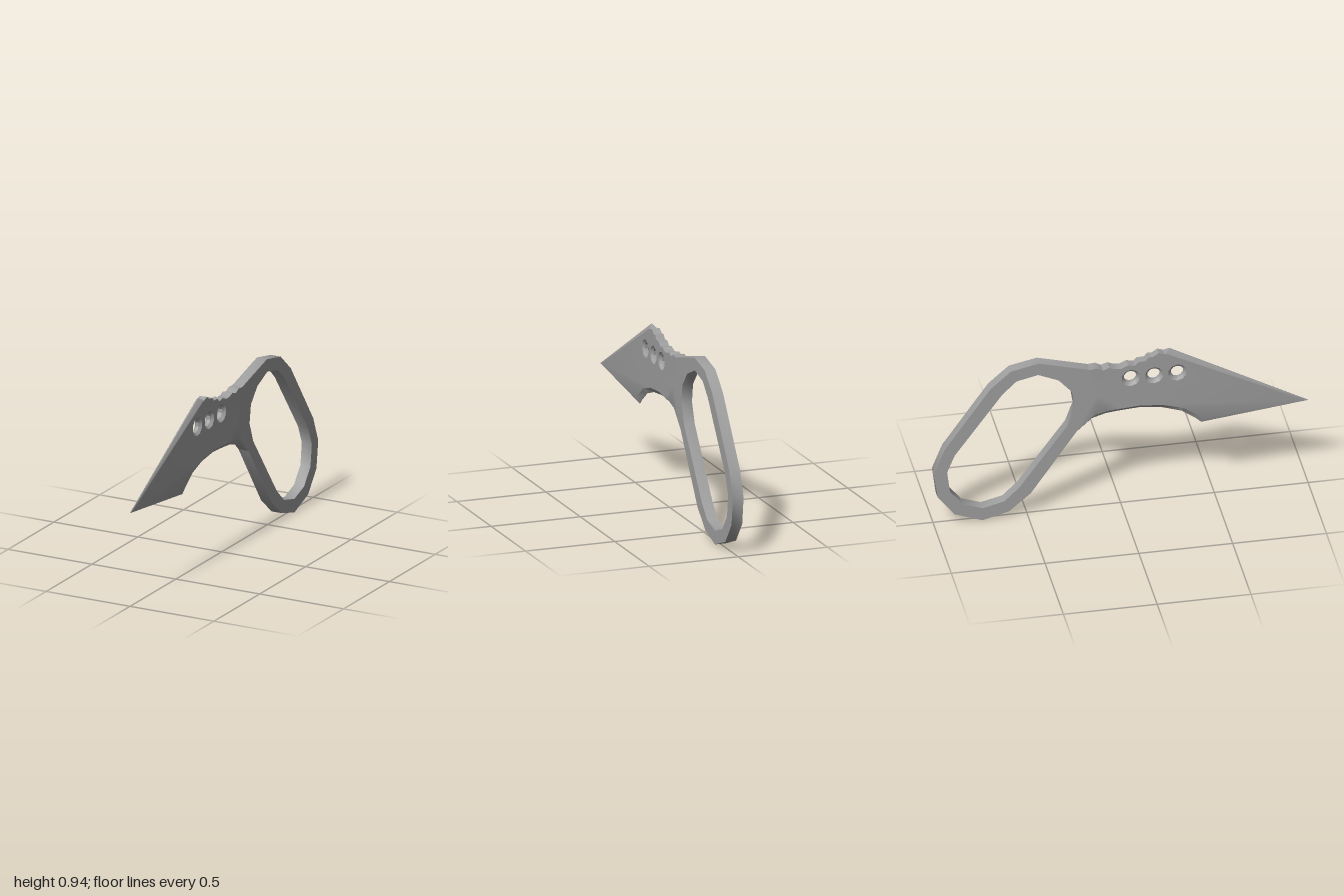
import * as THREE from 'three';
import { toCreasedNormals } from 'three/addons/utils/BufferGeometryUtils.js';

// Half thickness along the length: constant in the handle, tapering to the tip
const halfWidth = z => z < -0.13 ? 0.03 : 0.03 - (z + 0.13) * 0.0235;

// Plate from counter-clockwise (z, y) loops. Each point is [z, y] for a square
// edge, or [z, y, faceZ, faceY, rim] for a bevel running in to the side face.
function plate(contour, holes = []) {
  const expand = loop => loop.map(([z, y, fz = z, fy = y, rim = 1]) => ({
    face: [halfWidth(fz), fy, fz], edge: [halfWidth(z) * rim, y, z] }));
  const loops = [expand(contour), ...holes.map(h => expand(h).reverse())];
  const pos = [];
  const tri = (...pts) => {
    const [a, b, c] = pts.map(p => new THREE.Vector3(...p));
    if (b.sub(a).cross(c.sub(a)).length() > 1e-9) pos.push(...pts.flat());
  };
  const left = ([x, y, z]) => [-x, y, z];
  const both = (a, b, c) => { tri(left(a), left(b), left(c)); tri(a, c, b); };

  // Side faces
  const flat = loops.map(l => l.map(({ face }) => new THREE.Vector2(face[2], face[1])));
  const all = loops.flat();
  for (const t of THREE.ShapeUtils.triangulateShape(flat[0], flat.slice(1))) {
    const v = t.map(i => all[i].face);
    const area = THREE.ShapeUtils.area(v.map(p => new THREE.Vector2(p[2], p[1])));
    if (area < 0) v.reverse();
    both(...v);
  }
  // Bevels and rims
  for (const loop of loops) {
    loop.forEach((a, i) => {
      const b = loop[(i + 1) % loop.length];
      both(b.face, a.face, a.edge);
      both(b.face, a.edge, b.edge);
      tri(left(b.edge), left(a.edge), a.edge);
      tri(left(b.edge), a.edge, b.edge);
    });
  }
  const geo = new THREE.BufferGeometry();
  geo.setAttribute('position', new THREE.Float32BufferAttribute(pos, 3));
  return toCreasedNormals(geo, 0.6);
}

export function createModel() {
  const group = new THREE.Group();
  const steel = new THREE.MeshStandardMaterial({ color: 0xa0a0a0 });
  steel.name = 'steel';
  const add = (name, geo) => {
    const mesh = new THREE.Mesh(geo, steel);
    mesh.name = name;
    group.add(mesh);
  };

  // Seam shared by blade and handle
  const seam = [[-0.17, 0.865], [-0.13, 0.7], [-0.24, 0.49]];

  // Cutting edge, from the handle along the curved belly to the tip
  const cuttingEdge = [
    [-0.155, 0.55, -0.14, 0.585, 0.3],
    [-0.08, 0.57, -0.075, 0.597, 0.15],
    [0, 0.577, 0, 0.602, 0.1],
    [0.1, 0.583, 0.1, 0.607, 0.1],
    [0.22, 0.568, 0.225, 0.593, 0.1],
    [0.325, 0.533, 0.335, 0.557, 0.1],
    [0.4, 0.478, 0.41, 0.502, 0.1],
    [0.43, 0.45, 0.44, 0.482, 0.1],
    [1, 0.516, 0.965, 0.522, 0.5],
  ];
  // Ridged spine, then the notched thumb rest
  const spine = [
    [0.26, 0.93, 0.25, 0.905, 0.1],
    [0.23, 0.91], [0.2, 0.92], [0.17, 0.9], [0.145, 0.9], [0.13, 0.88],
    [0.09, 0.878], [0.07, 0.858], [0.035, 0.866], [0, 0.85], [-0.035, 0.852],
    [-0.065, 0.864], [-0.1, 0.852], [-0.13, 0.868],
  ];
  // Countersunk holes
  const bores = [0.3, 0.175, 0.05].map(z => Array.from({ length: 10 }, (_, i) => {
    const a = (i + 0.5) * Math.PI / 5, c = Math.cos(a), s = Math.sin(a);
    return [z + 0.035 * c, 0.785 + 0.035 * s, z + 0.05 * c, 0.785 + 0.05 * s, 0.4];
  }));
  add('blade', plate([...cuttingEdge, ...spine, ...seam], bores));

  // Ring handle
  const ringOuter = [
    [-0.44, 0.938], [-0.59, 0.907], [-0.7, 0.81], [-0.945, 0.46], [-1, 0.32],
    [-0.98, 0.17], [-0.89, 0.055], [-0.74, 0], [-0.6, 0.038], [-0.485, 0.135],
  ];
  const ringInner = [
    [-0.25, 0.64], [-0.265, 0.74], [-0.335, 0.82], [-0.445, 0.868], [-0.56, 0.842],
    [-0.635, 0.77], [-0.89, 0.42], [-0.93, 0.32], [-0.915, 0.2], [-0.845, 0.112],
    [-0.74, 0.075], [-0.625, 0.103], [-0.545, 0.18], [-0.29, 0.53],
  ];
  add('ringHandle', plate([...ringOuter, ...[...seam].reverse()], [ringInner]));
  return group;
}
